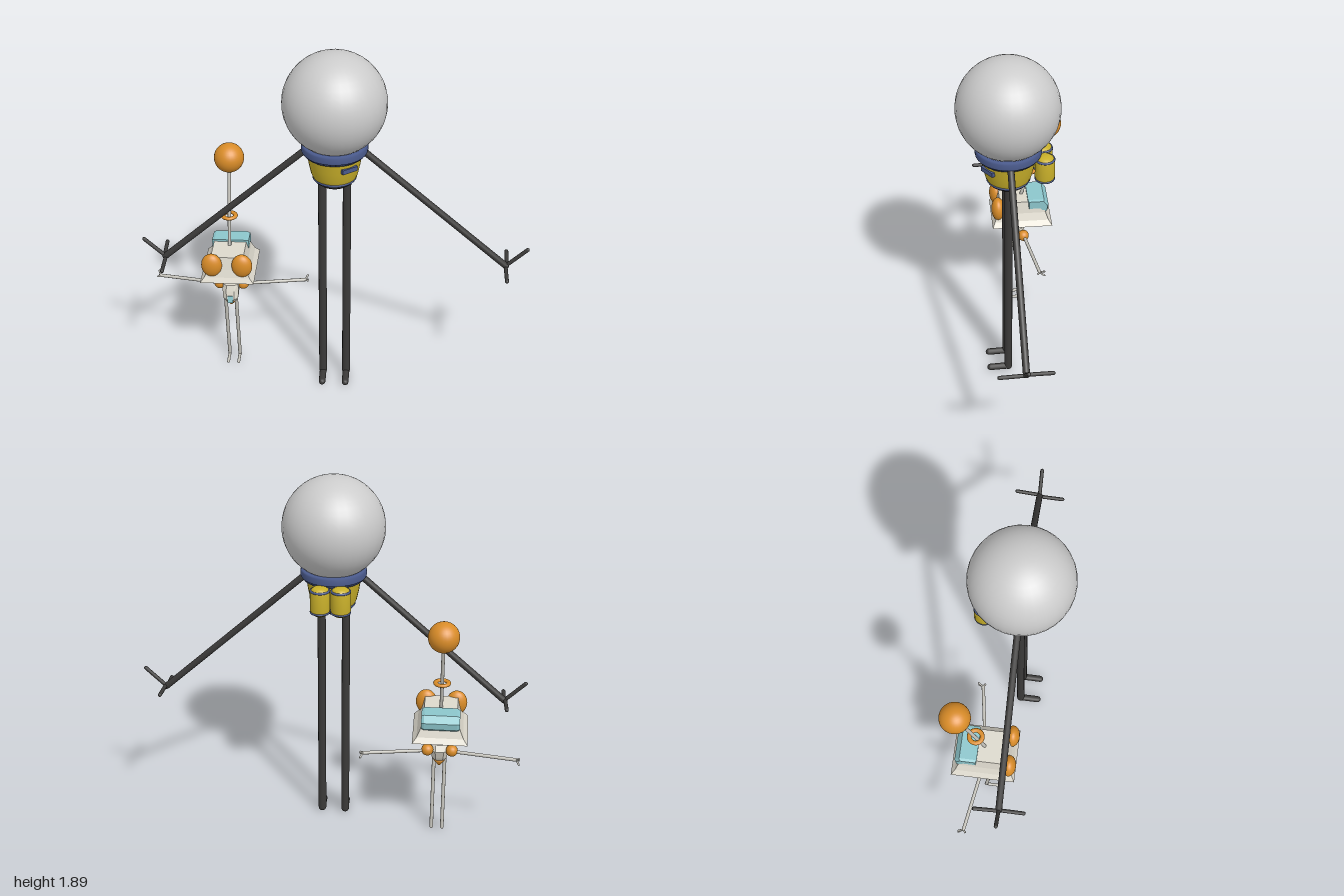
import * as THREE from 'three';

const V = (x, y, z) => new THREE.Vector3(x, y, z);
const mat = (color, extra = {}) => new THREE.MeshStandardMaterial({ color, ...extra });
const grey = mat(0xcccccc), dark = mat(0x3b3a39), navy = mat(0x4a5a8c), yellow = mat(0xc9b02a),
  orange = mat(0xd98c28), shell = mat(0xdcd8cc, { flatShading: true }), limb = mat(0xc4c2ba),
  teal = mat(0x8cc6cc, { flatShading: true }), jawGrey = mat(0x9a9a98);

function add(parent, name, geometry, material, x = 0, y = 0, z = 0) {
  const m = new THREE.Mesh(geometry, material);
  m.name = name;
  m.position.set(x, y, z);
  parent.add(m);
  return m;
}

// Straight rod with rounded ends between two points
function rod(parent, name, a, b, r, material) {
  const d = b.clone().sub(a);
  const m = add(parent, name, new THREE.CapsuleGeometry(r, d.length(), 4, 12), material);
  m.position.copy(a).addScaledVector(d, 0.5);
  m.quaternion.setFromUnitVectors(V(0, 1, 0), d.normalize());
  return m;
}

function ellipsoid(parent, name, r, material, x, y, z) {
  const m = add(parent, name, new THREE.SphereGeometry(1, 24, 16), material, x, y, z);
  m.scale.set(...r);
  return m;
}

const lathe = (pts, n = 32) => new THREE.LatheGeometry(pts.map(p => new THREE.Vector2(...p)), n);

// Skin over stacked rings from bottom to top: each ring is [y, halfX, zBack, zFront]
function loft(rings, outline) {
  const pos = [], idx = [], n = outline.length;
  for (const [y, hx, z0, z1] of rings)
    for (const [u, w] of outline) pos.push(u * hx, y, (z0 + z1) / 2 + w * (z1 - z0) / 2);
  for (let i = 0; i < rings.length - 1; i++)
    for (let j = 0; j < n; j++) {
      const a = i * n + j, b = i * n + (j + 1) % n;
      idx.push(a, b, b + n, a, b + n, a + n);
    }
  const top = (rings.length - 1) * n;
  for (let j = 1; j < n - 1; j++) idx.push(0, j + 1, j, top, top + j, top + j + 1);
  const g = new THREE.BufferGeometry();
  g.setAttribute('position', new THREE.Float32BufferAttribute(pos, 3));
  g.setIndex(idx);
  g.computeVertexNormals();
  return g;
}
const square = [[-1, 1], [1, 1], [1, -1], [-1, -1]];
const octagon = [[-0.5, 1], [0.5, 1], [1, 0.5], [1, -0.5], [0.5, -1], [-0.5, -1], [-1, -0.5], [-1, 0.5]];

function createTallFigure() {
  const g = new THREE.Group();
  g.name = 'tallFigure';
  g.position.z = 0.04;
  add(g, 'globeHead', new THREE.SphereGeometry(0.257, 32, 24), grey, 0, 1.638, 0);
  add(g, 'collar', lathe([[0.12, 1.37], [0.152, 1.37], [0.156, 1.382], [0.163, 1.384], [0.165, 1.39],
    [0.165, 1.416], [0.16, 1.425], [0.12, 1.425]]), navy);
  add(g, 'torso', lathe([[0.108, 1.238], [0.117, 1.26], [0.128, 1.31], [0.138, 1.375]]), yellow);
  add(g, 'waistBand', lathe([[0.1, 1.226], [0.107, 1.228], [0.111, 1.235], [0.11, 1.242], [0.1, 1.244]]), navy);
  add(g, 'hips', lathe([[0, 1.188], [0.04, 1.19], [0.075, 1.2], [0.097, 1.217], [0.105, 1.232]]), dark);

  // Chest plate set around the curve of the torso
  const plate = add(g, 'chestPlate', new THREE.BoxGeometry(0.085, 0.024, 0.02), navy, 0.077, 1.33, 0.106);
  plate.rotation.y = 0.63;

  for (const s of [-1, 1]) {
    // Back tank with rounded shoulders and two bands
    const tank = new THREE.Group();
    tank.name = 'backTank';
    tank.position.set(s * 0.051, 1.312, -0.176);
    g.add(tank);
    add(tank, 'tankBody', lathe([[0, -0.074], [0.03, -0.073], [0.043, -0.062], [0.05, -0.045],
      [0.05, 0.045], [0.043, 0.062], [0.03, 0.073], [0, 0.074]], 20), yellow);
    for (const y of [-0.056, 0.056]) {
      const band = add(tank, 'tankBand', new THREE.TorusGeometry(0.045, 0.006, 8, 20), navy, 0, y, 0);
      band.rotation.x = Math.PI / 2;
    }

    // Arm with three long fingers
    const wrist = V(s * 0.88, 0.725, -0.005);
    rod(g, 'arm', V(s * 0.13, 1.39, 0), wrist, 0.017, dark);
    rod(g, 'outerFinger', wrist, V(s * 0.985, 0.825, -0.005), 0.01, dark);
    rod(g, 'frontFinger', V(s * 0.88, 0.718, 0), V(s * 0.88, 0.714, 0.122), 0.01, dark);
    rod(g, 'backFinger', V(s * 0.885, 0.728, 0), V(s * 0.89, 0.733, -0.13), 0.01, dark);

    // Leg and forward foot
    rod(g, 'leg', V(s * 0.062, 1.22, 0.005), V(s * 0.062, 0.022, 0.01), 0.021, dark);
    rod(g, 'foot', V(s * 0.062, 0.021, 0.01), V(s * 0.062, 0.018, 0.107), 0.018, dark);
  }
  return g;
}

function createSmallFigure() {
  const g = new THREE.Group();
  g.name = 'smallFigure';
  g.position.x = -0.56;

  // Antenna rising from the head
  rod(g, 'antennaStem', V(0, 0.71, -0.073), V(0, 1.14, -0.203), 0.009, limb);
  add(g, 'antennaBall', new THREE.SphereGeometry(0.078, 28, 20), orange, 0, 1.18, -0.214);
  const ring = add(g, 'antennaRing', new THREE.TorusGeometry(0.033, 0.012, 10, 28), orange, 0, 0.886, -0.12);
  ring.rotation.x = Math.PI / 2;
  ring.scale.z = 0.75;

  // Head: a flared box with a wide brim
  add(g, 'head', loft([[0.598, 0.14, -0.24, 0.09], [0.625, 0.118, -0.22, 0.076],
    [0.665, 0.1, -0.205, 0.062], [0.73, 0.085, -0.185, 0.045]], square), shell);
  ellipsoid(g, 'jaw', [0.08, 0.045, 0.105], jawGrey, 0, 0.598, -0.075).rotation.x = -0.1;

  // Padded cover folded over the back edge of the head
  const side = new THREE.Shape([[0.115, 0.735], [0.195, 0.735], [0.217, 0.705], [0.213, 0.675], [0.195, 0.658],
    [0.18, 0.69], [0.115, 0.69]].map(p => new THREE.Vector2(...p)));
  const cover = add(g, 'headCover', new THREE.ExtrudeGeometry(side, {
    depth: 0.166, bevelEnabled: true, bevelSize: 0.006, bevelThickness: 0.014, bevelSegments: 1,
  }), teal, -0.083, 0, 0);
  cover.rotation.y = Math.PI / 2;

  // Trunk tapering to an orange tip
  add(g, 'trunk', loft([[0.41, 0.03, -0.068, -0.014], [0.43, 0.04, -0.08, -0.002],
    [0.475, 0.043, -0.098, -0.015], [0.506, 0.04, -0.078, -0.026]], octagon), shell);
  add(g, 'trunkTip', loft([[0.375, 0.006, -0.052, -0.04], [0.395, 0.02, -0.062, -0.024],
    [0.412, 0.031, -0.069, -0.013]], octagon), orange);
  const panel = add(g, 'bellyPanel', new THREE.BoxGeometry(0.03, 0.036, 0.01), teal, 0, 0.432, -0.003);
  panel.rotation.x = -0.25;

  for (const s of [-1, 1]) {
    ellipsoid(g, 'eye', [0.054, 0.066, 0.036], orange, s * 0.079, 0.69, 0.057);
    add(g, 'shoulder', new THREE.SphereGeometry(0.031, 20, 14), orange, s * 0.063, 0.483, -0.086);

    // Arm and small gripping fingers
    const wrist = V(s * 0.392, 0.478, -0.143);
    rod(g, 'arm', V(s * 0.07, 0.48, -0.09), wrist, 0.009, limb);
    for (const [dx, dy, dz] of [[0.012, 0.013, -0.025], [0.012, -0.014, -0.025], [0.014, 0, 0.01]])
      rod(g, 'finger', wrist, wrist.clone().add(V(s * dx, dy, dz)), 0.005, limb);

    // Leg and foot
    rod(g, 'leg', V(s * 0.028, 0.405, -0.036), V(s * 0.028, 0.014, -0.08), 0.0095, limb);
    rod(g, 'foot', V(s * 0.028, 0.012, -0.08), V(s * 0.028, 0.01, -0.008), 0.008, limb);
  }
  return g;
}

export function createModel() {
  const model = new THREE.Group();
  model.name = 'twoFigures';
  model.add(createTallFigure(), createSmallFigure());
  return model;
}
